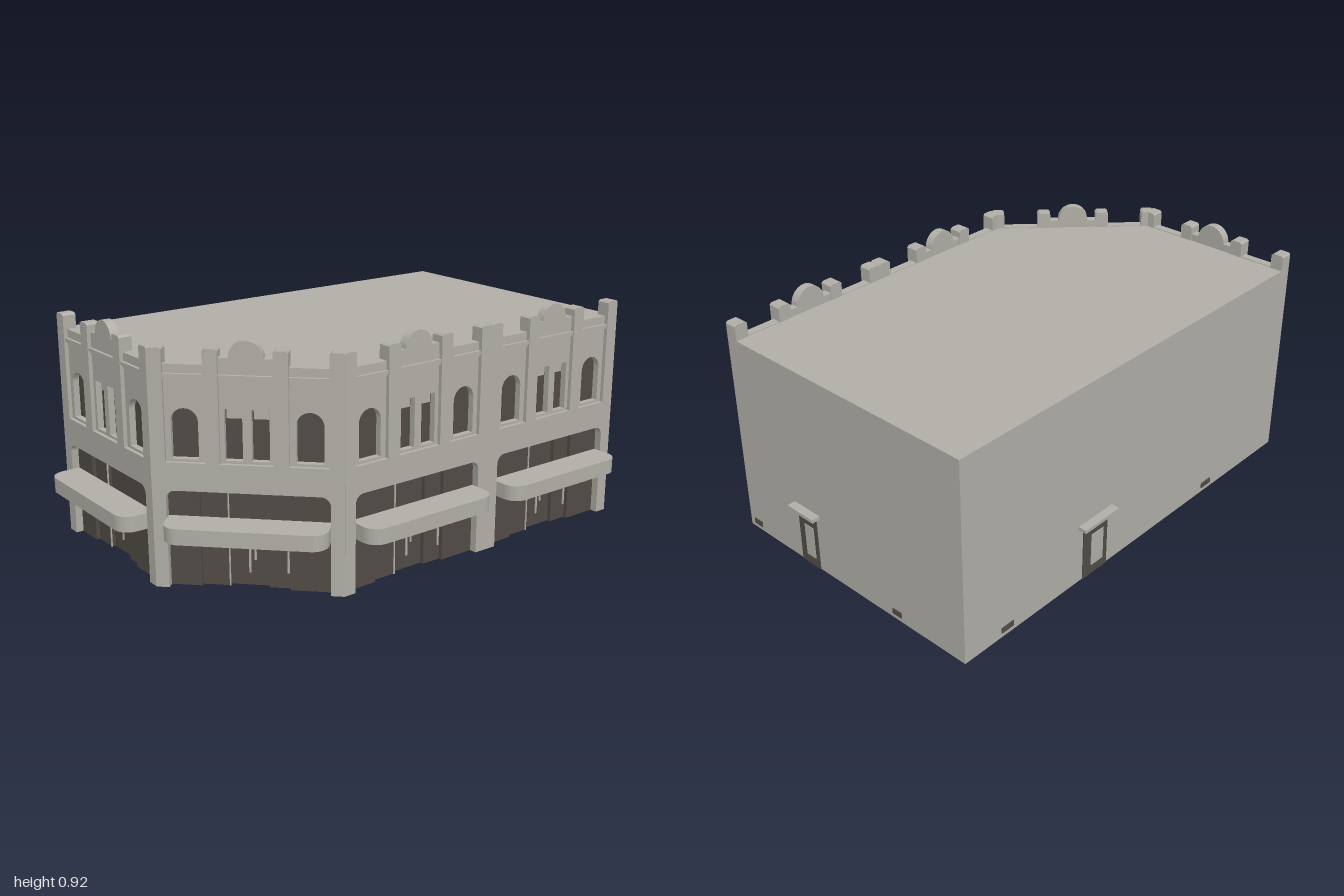
import * as THREE from 'three';
import { toCreasedNormals } from 'three/addons/utils/BufferGeometryUtils.js';

const stone = new THREE.MeshStandardMaterial({ color: 0xb0aea6, side: THREE.DoubleSide });
stone.name = 'grey stone';
const dark = new THREE.MeshStandardMaterial({ color: 0x504b45, side: THREE.DoubleSide });
dark.name = 'dark glazing';

const ROOF = 0.832, HALF = 0.345, OPEN = 0.295;

function add(parent, name, geometry, material, x = 0, y = 0, z = 0) {
  const mesh = new THREE.Mesh(geometry, material);
  mesh.name = name;
  mesh.position.set(x, y, z);
  parent.add(mesh);
  return mesh;
}

// Box given by its limits
function block(parent, name, material, x0, x1, y0, y1, z0, z1) {
  return add(parent, name, new THREE.BoxGeometry(x1 - x0, y1 - y0, z1 - z0), material,
    (x0 + x1) / 2, (y0 + y1) / 2, (z0 + z1) / 2);
}

function extrude(shape, depth) {
  const g = new THREE.ExtrudeGeometry(shape, { depth, bevelEnabled: false, curveSegments: 10 });
  return toCreasedNormals(g, 0.6);
}

function polygon(points) {
  return new THREE.Shape(points.map(([x, y]) => new THREE.Vector2(x, y)));
}

function rectPath(x0, x1, y0, y1) {
  return new THREE.Path([[x0, y0], [x1, y0], [x1, y1], [x0, y1]].map(([x, y]) => new THREE.Vector2(x, y)));
}

// Window opening with a round head
function archPath(cx, w, y0, y1) {
  const p = new THREE.Path();
  p.moveTo(cx - w, y0);
  p.lineTo(cx + w, y0);
  p.lineTo(cx + w, y1 - w);
  p.absarc(cx, y1 - w, w, 0, Math.PI, false);
  p.lineTo(cx - w, y0);
  return p;
}

// Ground floor wall with a wide round-cornered shop opening
function lowerWall() {
  const r = 0.035, top = 0.375;
  const s = new THREE.Shape();
  s.moveTo(-HALF, 0);
  s.lineTo(-OPEN, 0);
  s.lineTo(-OPEN, top - r);
  s.absarc(-OPEN + r, top - r, r, Math.PI, Math.PI / 2, true);
  s.lineTo(OPEN - r, top);
  s.absarc(OPEN - r, top - r, r, Math.PI / 2, 0, true);
  s.lineTo(OPEN, 0);
  s.lineTo(HALF, 0);
  s.lineTo(HALF, 0.48);
  s.lineTo(-HALF, 0.48);
  return extrude(s, 0.05);
}

// Upper wall with window holes and a raised round gable
function upperWall() {
  const s = new THREE.Shape();
  s.moveTo(-HALF + 0.01, 0.47);
  s.lineTo(HALF - 0.01, 0.47);
  s.lineTo(HALF - 0.01, 0.835);
  s.lineTo(0.12, 0.835);
  s.lineTo(0.12, 0.862);
  s.lineTo(0.062, 0.862);
  s.absarc(0, 0.862, 0.062, 0, Math.PI, false);
  s.lineTo(-0.12, 0.862);
  s.lineTo(-0.12, 0.835);
  s.lineTo(-HALF + 0.01, 0.835);
  for (const side of [-1, 1]) {
    s.holes.push(archPath(side * 0.222, 0.049, 0.49, 0.677));
    s.holes.push(rectPath(side * 0.048 - 0.032, side * 0.048 + 0.032, 0.49, 0.68));
  }
  return extrude(s, 0.035);
}

// Canopy slab with rounded outer corners
function canopy() {
  const s = new THREE.Shape(), r = 0.06, out = 0.1;
  s.moveTo(-OPEN, -0.03);
  s.lineTo(OPEN, -0.03);
  s.lineTo(OPEN, out - r);
  s.absarc(OPEN - r, out - r, r, 0, Math.PI / 2, false);
  s.lineTo(-OPEN + r, out);
  s.absarc(-OPEN + r, out - r, r, Math.PI / 2, Math.PI, false);
  return extrude(s, 0.06).rotateX(Math.PI / 2);
}

// One street front: local +z points to the street, z = 0 is the wall face
function facade(name) {
  const g = new THREE.Group();
  g.name = name;
  add(g, 'lowerWall', lowerWall(), stone, 0, 0, -0.05);
  add(g, 'upperWall', upperWall(), stone, 0, 0, -0.05);
  add(g, 'canopy', canopy(), stone, 0, 0.27, 0);

  // Pilasters with chamfered tops
  const w = 0.0265, c = 0.008;
  const profile = polygon([[-w, 0.48], [w, 0.48], [w, 0.888], [w - c, 0.895], [c - w, 0.895], [-w, 0.888]]);
  for (const x of [-HALF + w, -0.123, 0.123, HALF - w]) {
    add(g, 'pilaster', extrude(profile, 0.053), stone, x, 0, -0.053);
  }

  // Double string course between the pilasters
  for (const [a, b] of [[-0.292, -0.149], [-0.097, 0.097], [0.149, 0.292]]) {
    block(g, 'stringCourse', stone, a, b, 0.782, 0.79, -0.02, -0.009);
    block(g, 'stringCourse', stone, a, b, 0.79, 0.803, -0.02, -0.003);
  }

  // Window panes behind the openings, with pale blinds in the middle pair
  for (const side of [-1, 1]) {
    const x = side * 0.222, m = side * 0.048;
    block(g, 'archedPane', dark, x - 0.053, x + 0.053, 0.485, 0.682, -0.047, -0.04);
    block(g, 'middlePane', dark, m - 0.036, m + 0.036, 0.485, 0.685, -0.047, -0.04);
    block(g, 'blind', stone, m - 0.027, m + 0.027, 0.64, 0.674, -0.04, -0.036);
  }

  // Shop front panels stepping back to the doors
  const edges = [-0.3, -0.18, -0.08, 0.065, 0.145, 0.3];
  const depths = [0.03, 0.045, 0.06, 0.045, 0.03];
  depths.forEach((d, i) => {
    block(g, 'shopPanel', dark, edges[i], edges[i + 1], 0, 0.38, -d - 0.025, -d);
  });

  // Thin pale mullions and door handles
  block(g, 'mullion', stone, -0.082, -0.077, 0, 0.37, -0.046, -0.041);
  for (const [x, y0, y1, z] of [[-0.008, 0.05, 0.2, -0.06], [0.012, 0.1, 0.2, -0.06], [0.135, 0.06, 0.18, -0.045]]) {
    block(g, 'doorHandle', stone, x - 0.004, x + 0.004, y0, y1, z, z + 0.004);
  }
  return g;
}

// Service door, hood and floor vents of a plain wall; local +z points outward
function serviceDoor(name, ventOffsets) {
  const g = new THREE.Group();
  g.name = name;
  block(g, 'doorHood', stone, -0.07, 0.07, 0.238, 0.252, 0, 0.035);
  block(g, 'doorFrame', dark, -0.05, 0.05, 0, 0.225, -0.002, 0.004);
  block(g, 'doorLeaf', stone, -0.018, 0.032, 0.04, 0.18, 0.002, 0.006);
  for (const x of ventOffsets) block(g, 'vent', dark, x - 0.022, x + 0.022, 0.02, 0.042, -0.002, 0.004);
  return g;
}

export function createModel() {
  const model = new THREE.Group();
  model.name = 'cornerBuilding';

  // Plain walls and flat roof, open underneath
  const depth = 1.865, width = 1.175;
  const left = add(model, 'leftWall', new THREE.PlaneGeometry(depth, ROOF), stone, -0.62, ROOF / 2, -0.0325);
  left.rotation.y = -Math.PI / 2;
  const back = add(model, 'backWall', new THREE.PlaneGeometry(width, ROOF), stone, -0.0325, ROOF / 2, -0.965);
  back.rotation.y = Math.PI;
  const outline = polygon([[-0.62, -0.88], [0.062, -0.88], [0.535, -0.407], [0.535, 0.965], [-0.62, 0.965]]);
  add(model, 'roof', new THREE.ShapeGeometry(outline).rotateX(-Math.PI / 2), stone, 0, ROOF, 0);

  // Four equal street fronts wrapping the cut corner
  const fronts = [
    ['frontFacade', -0.275, 0.9, 0],
    ['cornerFacade', 0.3125, 0.6575, Math.PI / 4],
    ['rightFrontFacade', 0.555, 0.07, Math.PI / 2],
    ['rightBackFacade', 0.555, -0.62, Math.PI / 2],
  ];
  for (const [name, x, z, turn] of fronts) {
    const f = facade(name);
    f.position.set(x, 0, z);
    f.rotation.y = turn;
    model.add(f);
  }

  // Service doors
  const backDoor = serviceDoor('backDoor', [-0.32, 0.47]);
  backDoor.position.set(0.185, 0, -0.965);
  backDoor.rotation.y = Math.PI;
  const leftDoor = serviceDoor('leftDoor', [-0.47, 0.71]);
  leftDoor.position.set(-0.62, 0, -0.285);
  leftDoor.rotation.y = -Math.PI / 2;
  leftDoor.scale.x = 1.35;
  leftDoor.children.filter((m) => m.name === 'vent').forEach((m) => { m.position.x /= 1.35; });
  model.add(backDoor, leftDoor);
  return model;
}
